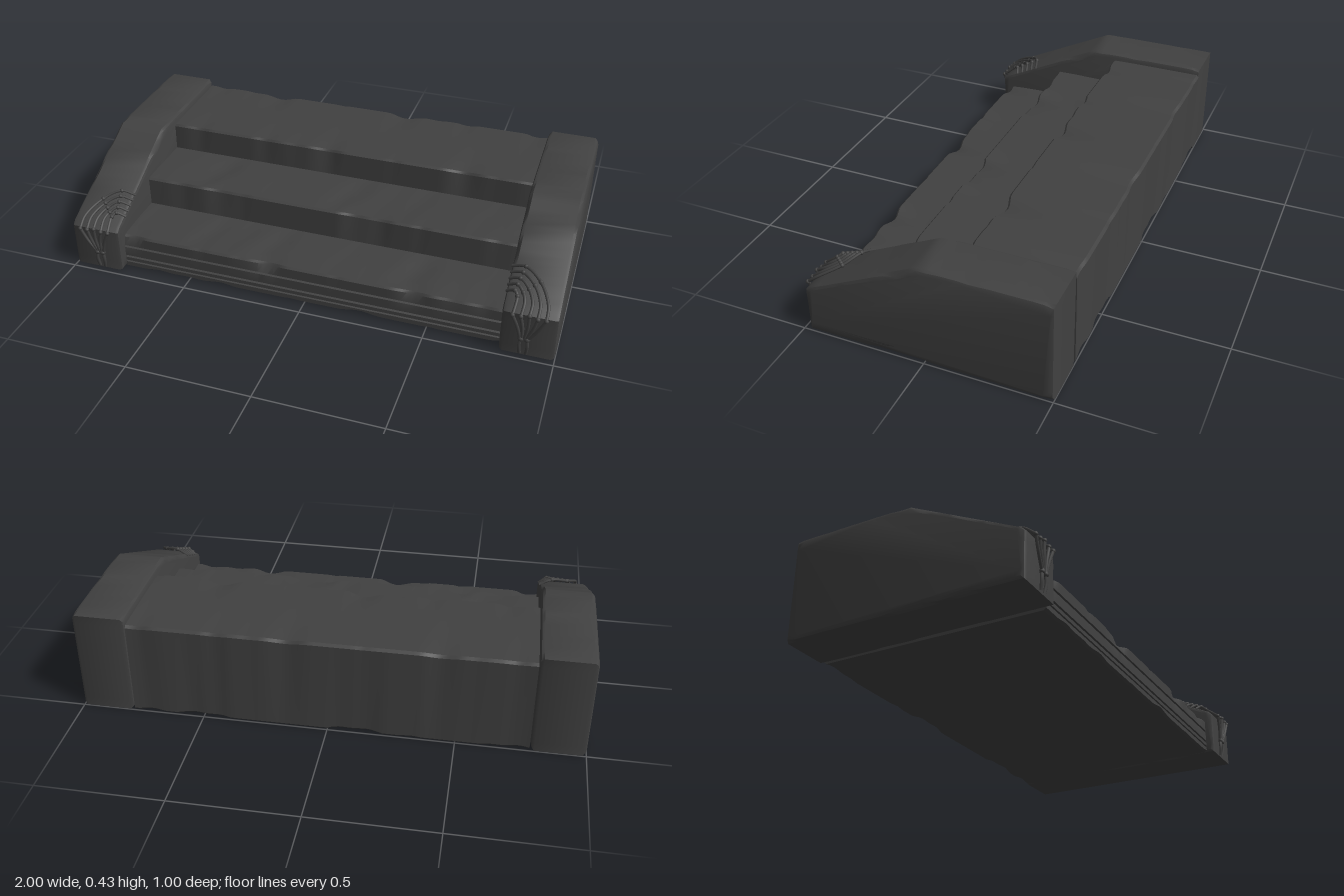
import * as THREE from 'three';
import { toCreasedNormals } from 'three/addons/utils/BufferGeometryUtils.js';

const stone = new THREE.MeshStandardMaterial({ color: 0x414141 });
stone.name = 'dark stone';

// Smooth irregular value between 0 and 1, used for worn edges
const noise = (t, seed) => {
  const v = Math.sin(t * 9 + seed * 3.1) + Math.sin(t * 21.7 + seed * 5.3) * 0.8 + Math.sin(t * 43 + seed * 1.7) * 0.5;
  return Math.max(0, v) / 2.3;
};

// Extrude a (z, y) profile along x, centred on x = 0
function extrudeAlongX(points, width, bevel, steps) {
  const shape = new THREE.Shape(points.map(([z, y]) => new THREE.Vector2(z, y)));
  const geo = new THREE.ExtrudeGeometry(shape, {
    depth: width - 2 * bevel, steps, bevelEnabled: bevel > 0, bevelThickness: bevel,
    bevelSize: bevel, bevelOffset: -bevel, bevelSegments: 2,
  });
  geo.rotateY(-Math.PI / 2);
  geo.translate(width / 2 - bevel, 0, 0);
  return geo;
}

function moveVertices(geo, rule) {
  const pos = geo.attributes.position;
  const v = new THREE.Vector3();
  for (let i = 0; i < pos.count; i++) {
    rule(v.fromBufferAttribute(pos, i));
    pos.setXYZ(i, v.x, v.y, v.z);
  }
  return toCreasedNormals(geo, 0.5);
}

// Split the sides of a profile into short pieces so the edges can wear
function subdivide(points, length) {
  return points.flatMap(([z, y], i) => {
    const [z2, y2] = points[(i + 1) % points.length];
    const n = Math.max(1, Math.round(Math.hypot(z2 - z, y2 - y) / length));
    return Array.from({ length: n }, (_, k) => [z + (z2 - z) * k / n, y + (y2 - y) * k / n]);
  });
}

function makeSteps() {
  const profile = [
    [-0.49, 0], [0.43, 0], [0.44, 0.008],
    [0.44, 0.027], [0.431, 0.031], [0.44, 0.035], // front face grooves
    [0.44, 0.05], [0.428, 0.055], [0.44, 0.06],
    [0.44, 0.1], [0.43, 0.105], [0.44, 0.11],
    [0.44, 0.152], [0.432, 0.16], [0.36, 0.161], [0.27, 0.161], [0.185, 0.16],
    [0.185, 0.277], [0.177, 0.285], [0.1, 0.286], [0, 0.286], [-0.09, 0.285],
    [-0.09, 0.392], [-0.098, 0.4], [-0.2, 0.4], [-0.35, 0.4], [-0.49, 0.4],
    [-0.5, 0.39], [-0.5, 0.01],
  ];
  const geo = extrudeAlongX(profile, 1.572, 0, 72);
  return moveVertices(geo, (v) => {
    const { x, y, z } = v;
    // chipped nosings
    [[0.44, 0.16], [0.185, 0.285], [-0.09, 0.4]].forEach(([nz, ny], i) => {
      if (Math.abs(z - nz) < 0.012 && Math.abs(y - ny) < 0.012) {
        const chip = noise(x, i + 1);
        v.z -= chip * 0.02;
        v.y -= chip * 0.013;
      } else if (Math.abs(y - ny) < 0.003 && z < nz - 0.05 && z > nz - 0.2 && i < 2) {
        v.y -= noise(x + z * 0.5, i + 5) * 0.012;
      }
    });
    // worn back and bottom edges
    if (z < -0.48) {
      const chip = noise(x, y > 0.2 ? 8 : 9) * 0.012;
      v.z += chip;
      v.y += y > 0.2 ? -chip : chip;
    }
    if (z > 0.42 && y < 0.01) v.y += noise(x, 10) * 0.012;
  });
}

function makeWall() {
  const profile = subdivide([
    [-0.5, 0.003], [0.475, 0.003], [0.475, 0.188], [0.455, 0.207], [0.005, 0.425], [-0.5, 0.425],
  ], 0.04);
  const geo = extrudeAlongX(profile, 0.212, 0.015, 1);
  return moveVertices(geo, (v) => {
    const { x, y, z } = v;
    if (Math.abs(x) < 0.1) return;
    // chips along the long edges of both side faces
    const chip = noise(z, x > 0 ? 2.4 : 6.2) * 0.014;
    if (y < 0.03) v.y += chip + (x > 0 && z > 0.02 && z < 0.2 ? 0.014 : 0);
    else if (y > 0.19) v.y -= chip;
    else v.z -= Math.sign(z) * noise(y * 2, 3) * 0.008;
  });
}

// Height of the sloping top of a side wall
const slopeY = (z) => 0.427 - 0.485 * z;

function tube(points, radius, name) {
  const curve = new THREE.CatmullRomCurve3(points.map((p) => new THREE.Vector3(...p)));
  const mesh = new THREE.Mesh(new THREE.TubeGeometry(curve, 20, radius, 6), stone);
  mesh.name = name;
  return mesh;
}

function joint(p, r, name) {
  const mesh = new THREE.Mesh(new THREE.SphereGeometry(r, 8, 6), stone);
  mesh.position.set(...p);
  mesh.name = name;
  return mesh;
}

// Bony hand climbing the front of a wall and gripping its slope
function makeHand(side) {
  const hand = new THREE.Group();
  const at = (x, y, z) => [x * side, y, z];
  for (let i = 0; i < 5; i++) {
    const wrist = at(0.896 - i * 0.008, 0.085, 0.482);
    const knuckle = at(0.953 - i * 0.031, 0.19 + (i === 2 ? 0.008 : 0), 0.49);
    const zMid = 0.365 + i * 0.017;
    const zTip = 0.305 + i * 0.024;
    const over = at(0.95 - i * 0.029, slopeY(0.44) + 0.012, 0.445);
    const middle = at(0.905 - i * 0.018, slopeY(zMid) + 0.018, zMid);
    const bend = at(0.84 - i * 0.005, slopeY(zTip) + 0.014, zTip + 0.015);
    const tip = at(0.787, slopeY(zTip) - 0.006, zTip);
    hand.add(tube([wrist, at(0.93 - i * 0.02, 0.14, 0.487), knuckle], 0.0065, 'palmBone'));
    hand.add(tube([knuckle, over, middle, bend, tip], 0.006, 'fingerBone'));
    [knuckle, middle, bend].forEach((p) => hand.add(joint(p, 0.009, 'fingerJoint')));
  }
  for (const dx of [-0.012, 0.012]) {
    hand.add(tube([at(0.88 + dx, 0.085, 0.48), at(0.88 + dx * 1.3, 0.05, 0.482), at(0.88 + dx, 0.01, 0.476)], 0.007, 'forearmBone'));
    hand.add(joint(at(0.88 + dx, 0.082, 0.481), 0.012, 'wristBone'));
  }
  return hand;
}

export function createModel() {
  const model = new THREE.Group();
  model.name = 'stoneStairs';
  const steps = new THREE.Mesh(makeSteps(), stone);
  steps.name = 'steps';
  model.add(steps);

  const wallGeometry = makeWall();
  for (const [side, label] of [[1, 'left'], [-1, 'right']]) {
    const wall = new THREE.Mesh(wallGeometry, stone);
    wall.name = label + 'SideWall';
    wall.position.x = side * 0.894;
    const hand = makeHand(side);
    hand.name = label + 'SkeletonHand';
    model.add(wall, hand);
  }
  return model;
}
